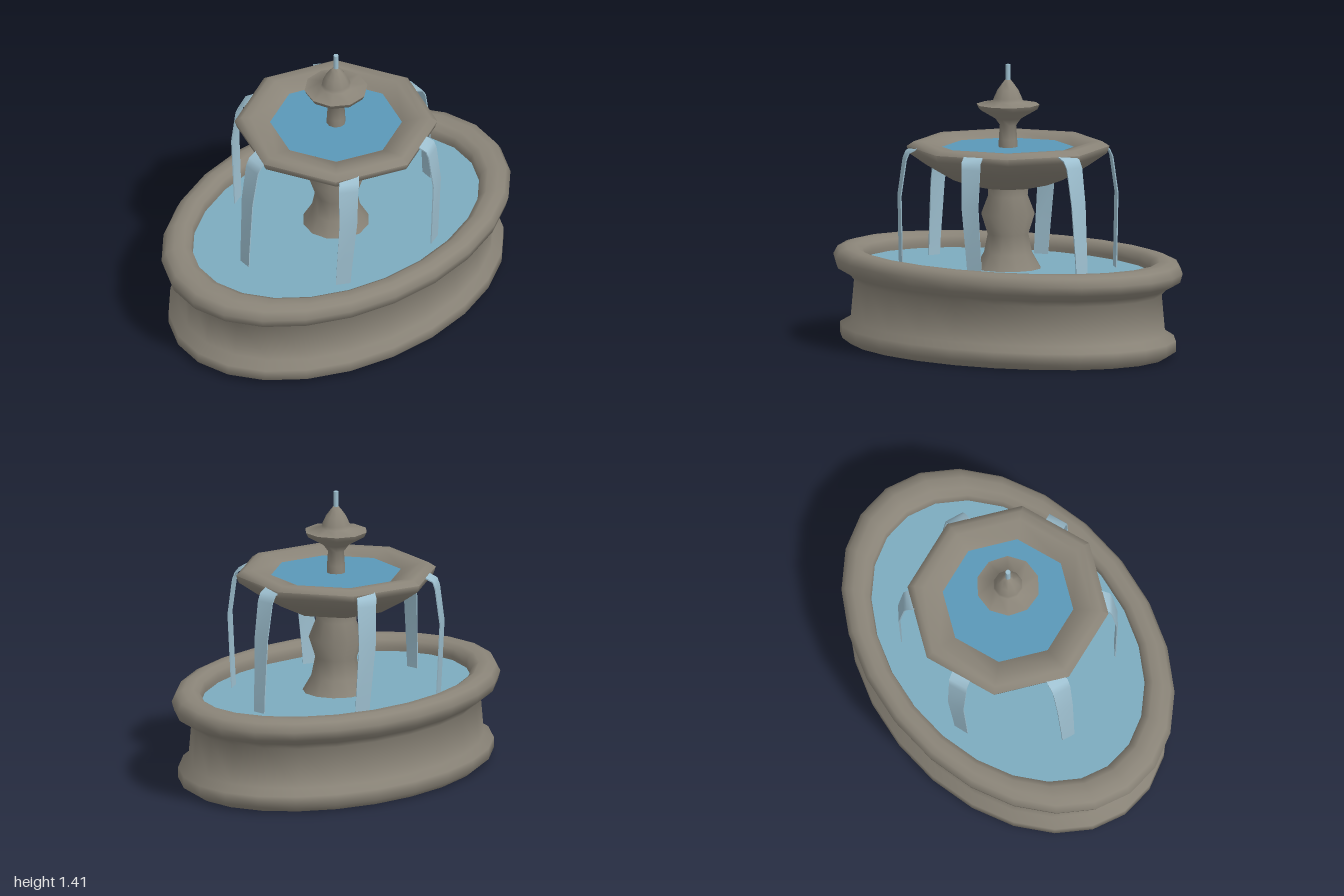
import * as THREE from 'three';
import { toCreasedNormals } from 'three/addons/utils/BufferGeometryUtils.js';

const material = (color) => new THREE.MeshStandardMaterial({ color, side: THREE.DoubleSide });

export function createModel() {
  const model = new THREE.Group();
  const stone = material(0x8a8478);
  const poolWater = material(0x7cabbe);
  const bowlWater = material(0x5a98b8);
  const fallWater = material(0x9dbfcf);

  const add = (name, geometry, mat) => {
    const mesh = new THREE.Mesh(geometry, mat);
    mesh.name = name;
    model.add(mesh);
  };

  // Turned part from a [radius, height] profile, optionally squeezed in z
  const turned = (name, profile, sides, squeeze = 1) => {
    const points = profile.map(([r, y]) => new THREE.Vector2(r, y));
    const geometry = new THREE.LatheGeometry(points, sides, Math.PI / 2);
    geometry.scale(1, 1, squeeze);
    add(name, toCreasedNormals(geometry, 1.4), stone);
  };

  // Flat water surface
  const surface = (name, radius, y, sides, mat, squeeze = 1) => {
    const geometry = new THREE.CircleGeometry(radius, sides);
    geometry.rotateX(-Math.PI / 2).scale(1, 1, squeeze).translate(0, y, 0);
    add(name, geometry, mat);
  };

  // Oval basin, an open shell with a rolled rim
  turned('basin', [
    [0.91, 0], [0.96, 0.03], [0.96, 0.085], [0.9, 0.115], [0.88, 0.31], [0.91, 0.34],
    [0.985, 0.375], [1, 0.42], [0.975, 0.46], [0.93, 0.473], [0.87, 0.473], [0.832, 0.455],
    [0.82, 0.42], [0.83, 0.375],
  ], 24, 0.7);
  surface('poolWater', 0.825, 0.4, 24, poolWater, 0.7);

  // Pedestal between the pool and the bowl
  turned('pedestal', [
    [0.18, 0.37], [0.165, 0.4], [0.122, 0.475], [0.103, 0.57], [0.135, 0.67],
    [0.1, 0.76], [0.105, 0.81],
  ], 12);

  // Eight-sided bowl
  turned('bowl', [
    [0, 0.8], [0.13, 0.803], [0.27, 0.835], [0.4, 0.91], [0.488, 0.97], [0.5, 1.005],
    [0.465, 1.028], [0.42, 1.027], [0.325, 1.0], [0.315, 0.985],
  ], 8);
  surface('bowlWater', 0.325, 1.001, 8, bowlWater);

  // Stem, upper dish and finial
  turned('finial', [
    [0.047, 0.99], [0.046, 1.04], [0.041, 1.11], [0.065, 1.143], [0.146, 1.19], [0.157, 1.213],
    [0.075, 1.228], [0.07, 1.245], [0.052, 1.285], [0.028, 1.318], [0.014, 1.335], [0, 1.338],
  ], 10);

  // Jet on top
  const jet = new THREE.CylinderGeometry(0.013, 0.013, 0.08, 8);
  jet.translate(0, 1.372, 0);
  add('waterJet', jet, fallWater);

  // Thin stream bent along a path of [radius, height, width, squeeze in z];
  // the growing squeeze lands the streams on an oval like the pool's
  const path = [
    [0.46, 1.005, 0.1, 1], [0.505, 0.985, 0.1, 0.98], [0.526, 0.95, 0.098, 0.96],
    [0.557, 0.77, 0.09, 0.945], [0.575, 0.48, 0.08, 0.875], [0.578, 0.4, 0.078, 0.86],
  ];
  const last = path.length - 1;
  const stream = (angle) => {
    const geometry = new THREE.BoxGeometry(1, last, 0.006, 1, last, 1);
    const position = geometry.attributes.position;
    const point = new THREE.Vector3();
    for (let i = 0; i < position.count; i++) {
      const step = Math.round(last / 2 - position.getY(i));
      const [r, y, width, squeeze] = path[step];
      const before = path[Math.max(step - 1, 0)];
      const after = path[Math.min(step + 1, last)];
      const along = new THREE.Vector2(after[0] - before[0], after[1] - before[1]).normalize();
      const offset = position.getZ(i);
      point.set(position.getX(i) * width, y + along.x * offset, r - along.y * offset);
      point.applyAxisAngle(THREE.Object3D.DEFAULT_UP, Math.PI / 2 - angle);
      position.setXYZ(i, point.x, point.y, point.z * squeeze);
    }
    geometry.computeVertexNormals();
    return geometry;
  };
  for (let k = 0; k < 6; k++) {
    add('waterStream' + (k + 1), stream(THREE.MathUtils.degToRad(7 + 60 * k)), fallWater);
  }

  return model;
}
